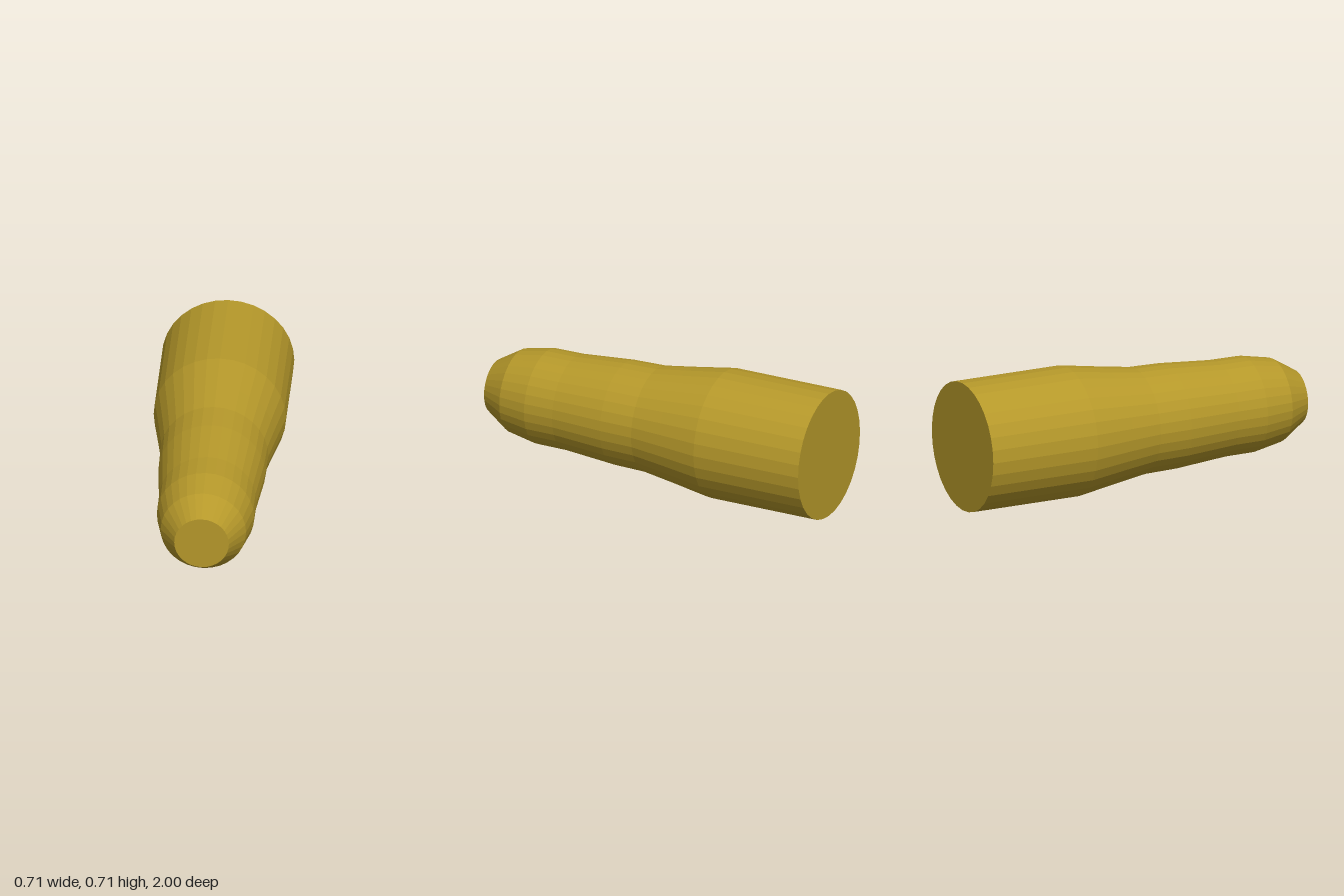
import * as THREE from 'three';

const RADIUS = 0.353;

// Half outline as [radius, z], from the back cap to the front cap
const PROFILE = [
  [0, -1], [RADIUS, -1], [RADIUS, -0.37], [0.316, -0.14], [0.289, 0.04],
  [0.285, 0.23], [0.261, 0.53], [0.26, 0.7], [0.228, 0.865], [0.146, 1], [0, 1],
];

export function createModel() {
  const group = new THREE.Group();
  group.name = 'taperedSleeve';

  // Solid turned body with both end caps, lying along z
  const geometry = new THREE.LatheGeometry(
    PROFILE.map(([r, z]) => new THREE.Vector2(r, z)), 32);
  geometry.rotateX(Math.PI / 2);
  geometry.translate(0, RADIUS, 0);

  const material = new THREE.MeshStandardMaterial({ color: 0xb5982a, flatShading: true });
  const body = new THREE.Mesh(geometry, material);
  body.name = 'body';
  group.add(body);
  return group;
}
